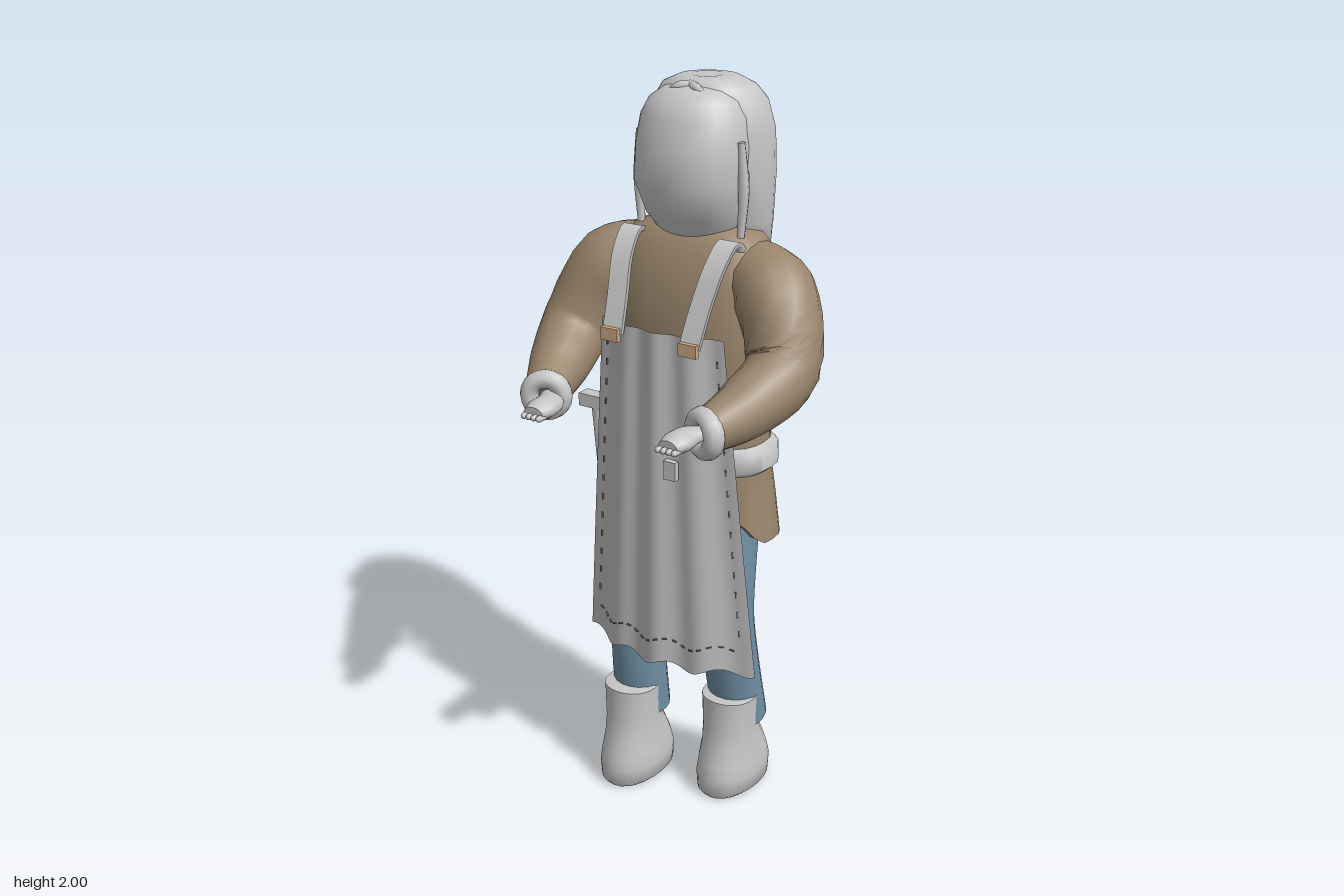
import * as THREE from 'three';
import { toCreasedNormals } from 'three/addons/utils/BufferGeometryUtils.js';

const V = (x, y, z) => new THREE.Vector3(x, y, z);
const mat = (name, color, side = THREE.FrontSide) => {
  const m = new THREE.MeshStandardMaterial({ color, side });
  m.name = name;
  return m;
};

// Closed skin over a list of rings (each ring an array of Vector3)
function skin(rings, crease = 0.9) {
  const n = rings[0].length, pos = [], idx = [];
  rings.forEach(r => r.forEach(p => pos.push(p.x, p.y, p.z)));
  for (let i = 0; i < rings.length - 1; i++)
    for (let j = 0; j < n; j++) {
      const a = i * n + j, b = i * n + (j + 1) % n;
      idx.push(a, b, b + n, a, b + n, a + n);
    }
  [0, rings.length - 1].forEach((k, end) => {
    const c = V(0, 0, 0);
    rings[k].forEach(p => c.addScaledVector(p, 1 / n));
    const ci = pos.length / 3;
    pos.push(c.x, c.y, c.z);
    for (let j = 0; j < n; j++) {
      const a = k * n + j, b = k * n + (j + 1) % n;
      if (end) idx.push(ci, a, b); else idx.push(ci, b, a);
    }
  });
  const g = new THREE.BufferGeometry();
  g.setAttribute('position', new THREE.Float32BufferAttribute(pos, 3));
  g.setIndex(idx);
  return toCreasedNormals(g, crease);
}

// Upright stack of rounded sections: [y, half width, front z, back z]
function stack(rows, { x = 0, dz = 0, n = 28, power = 2.4, shape = null } = {}) {
  const curve = v => Math.sign(v) * Math.pow(Math.abs(v), 2 / power);
  return skin(rows.map(([y, w, f, b]) => Array.from({ length: n }, (_, j) => {
    const a = j / n * Math.PI * 2;
    const p = V(x + w * curve(Math.sin(a)), y, dz + (f + b) / 2 + (f - b) / 2 * curve(Math.cos(a)));
    if (shape) shape(p);
    return p;
  })));
}

// Round limb along points [x, y, z, radius], mirrored by s
function limb(points, s, up, n = 14, steps = 14, flat = 1) {
  const c = new THREE.CatmullRomCurve3(points.map(p => V(p[0] * s, p[1], p[2])));
  const rings = [];
  for (let i = 0; i <= steps; i++) {
    const t = i / steps, k = Math.min(points.length - 2, Math.floor(t * (points.length - 1)));
    const r = THREE.MathUtils.lerp(points[k][3], points[k + 1][3], t * (points.length - 1) - k);
    const P = c.getPoint(t), T = c.getTangent(t);
    const A = up.clone().cross(T).normalize(), B = T.clone().cross(A);
    rings.push(Array.from({ length: n }, (_, j) => {
      const a = j / n * Math.PI * 2;
      return P.clone().addScaledVector(A, r * Math.cos(a)).addScaledVector(B, r * flat * Math.sin(a));
    }));
  }
  return skin(rings);
}

// Draped apron surface, u from -1 to 1 across and v from 0 to 1 downwards
function apronPoint(u, v) {
  const x = u * (0.185 + 0.085 * v);
  return V(x, 1.39 - 0.95 * v + 0.011 * v * Math.sin(u * 12),
    0.075 - 1.25 * x * x + 0.009 * Math.cos(u * 12) * (0.6 + 0.4 * v));
}

export function createModel() {
  const root = new THREE.Group();
  const grey = mat('lightGrey', 0xc6c6c6), cloth = mat('apronGrey', 0xbebebe, THREE.DoubleSide);
  const brown = mat('coatBrown', 0x9a856c), blue = mat('trouserBlue', 0x6f90a5);
  const tan = mat('buckleTan', 0xd0aa86), dark = mat('stitchDark', 0x666666);
  const add = (name, g, m, pos) => {
    const o = new THREE.Mesh(g, m);
    o.name = name;
    if (pos) o.position.set(...pos);
    root.add(o);
    return o;
  };

  // Head and long hair
  add('head', stack([[1.61, 0.1, -0.05, -0.2], [1.66, 0.135, -0.015, -0.22], [1.75, 0.147, 0.035, -0.23],
    [1.84, 0.15, 0.02, -0.23], [1.91, 0.14, 0.005, -0.23], [1.95, 0.12, -0.015, -0.22],
    [1.975, 0.085, -0.05, -0.2], [1.985, 0.04, -0.09, -0.17]], { power: 2.1 }), grey);
  add('hair', stack([[1.53, 0.125, -0.2, -0.305], [1.56, 0.15, -0.15, -0.315], [1.64, 0.165, -0.09, -0.325],
    [1.76, 0.171, -0.07, -0.334], [1.87, 0.168, -0.07, -0.328], [1.94, 0.152, -0.075, -0.308],
    [1.975, 0.125, -0.08, -0.285], [1.995, 0.08, -0.1, -0.255], [2.0, 0.04, -0.13, -0.215],
    [1.994, 0.008, -0.17, -0.19]], { power: 2.05, n: 32 }), grey);

  // Coat with the hem raised at the front
  add('coat', stack([[0.79, 0.24, -0.02, -0.265], [0.9, 0.225, -0.02, -0.262], [1.02, 0.207, -0.02, -0.255],
    [1.2, 0.207, 0.005, -0.265], [1.38, 0.22, 0.02, -0.278], [1.5, 0.222, 0.0, -0.272],
    [1.575, 0.212, -0.025, -0.25], [1.615, 0.18, -0.05, -0.225], [1.635, 0.11, -0.07, -0.19]], {
    power: 2.6,
    shape: p => { if (p.y < 0.8) p.y += 0.08 * THREE.MathUtils.smoothstep(p.z, -0.1, -0.03); },
  }), brown);
  add('belt', stack([[0.985, 0.214, -0.015, -0.262], [0.998, 0.23, -0.01, -0.272],
    [1.05, 0.228, -0.01, -0.272], [1.065, 0.21, -0.015, -0.26]], { power: 2.5 }), grey);

  for (const s of [1, -1]) {
    const side = s > 0 ? 'left' : 'right';
    // Arms, cuffs and hands
    add(side + 'Sleeve', limb([[0.14, 1.525, -0.145, 0.088], [0.245, 1.485, -0.105, 0.108], [0.315, 1.325, -0.03, 0.097],
      [0.288, 1.255, 0.09, 0.081], [0.245, 1.218, 0.21, 0.056]], s, V(0, 1, 0.01), 16, 20), brown);
    const cuff = add(side + 'Cuff', new THREE.TorusGeometry(0.044, 0.025, 10, 20), grey, [s * 0.241, 1.215, 0.212]);
    cuff.rotation.y = -s * 0.45;
    cuff.scale.z = 1.15;
    add(side + 'Hand', limb([[0.232, 1.213, 0.2, 0.028], [0.208, 1.208, 0.245, 0.039],
      [0.205, 1.206, 0.28, 0.041], [0.203, 1.204, 0.318, 0.029]], s, V(0, 1, 0), 12, 9, 0.65), grey);
    for (let i = 0; i < 4; i++) {
      const f = add(side + 'Finger', new THREE.CapsuleGeometry(0.0085, 0.022, 3, 8), grey,
        [s * (0.18 + i * 0.0155), 1.197, 0.314]);
      f.rotation.x = Math.PI / 2;
    }

    // Side locks, ears and parted fringe
    add(side + 'Lock', limb([[0.15, 1.62, -0.095, 0.01], [0.157, 1.74, -0.095, 0.015],
      [0.15, 1.86, -0.09, 0.01]], s, V(0, 0, 1), 8, 6), grey);
    add(side + 'Ear', new THREE.SphereGeometry(0.018, 10, 8), grey, [s * 0.15, 1.77, -0.105]).scale.set(0.8, 1.6, 0.9);
    add(side + 'Fringe', limb([[0, 1.985, -0.098, 0.011], [0.025, 1.98, -0.08, 0.013],
      [0.06, 1.965, -0.072, 0.004]], s, V(0, 1, 0), 8, 8), grey);

    // Trousers hang over the back of the boots; the left foot stands further back
    const dz = s > 0 ? 0 : 0.1;
    add(side + 'Trouser', limb([[0.11, 0.9, -0.125, 0.09], [0.12, 0.72, -0.095 + dz * 0.1, 0.085],
      [0.128, 0.55, -0.085 + dz * 0.4, 0.079], [0.13, 0.38, -0.12 + dz * 0.8, 0.077],
      [0.132, 0.205, -0.163 + dz, 0.077]], s, V(0, 0, 1), 18, 16), blue);
    add(side + 'Boot', stack([[0, 0.07, -0.01, -0.25], [0.012, 0.084, 0.0, -0.262], [0.06, 0.088, 0.002, -0.263],
      [0.1, 0.084, -0.008, -0.25], [0.15, 0.077, -0.022, -0.226], [0.2, 0.073, -0.03, -0.195],
      [0.298, 0.077, -0.032, -0.182], [0.3, 0.068, -0.04, -0.176]], { x: s * 0.132, dz, n: 24, power: 2.15 }), grey);

    // Apron straps and buckles
    const strap = new THREE.CatmullRomCurve3([V(s * 0.145, 1.58, -0.085), V(s * 0.145, 1.612, -0.05),
      V(s * 0.138, 1.56, 0.005), V(s * 0.124, 1.46, 0.05), V(s * 0.116, 1.37, 0.085)]);
    const rings = strap.getPoints(16).map((p, i) => {
      const T = strap.getTangent(i / 16), A = V(1, 0, 0), B = T.clone().cross(A).normalize();
      return [[1, 0.3], [0.6, 1], [-0.6, 1], [-1, 0.3], [-1, -1], [1, -1]].map(([a, b]) =>
        p.clone().addScaledVector(A, a * 0.029).addScaledVector(B, -b * 0.009)).reverse();
    });
    add(side + 'Strap', skin(rings, 1.2), grey);
    add(side + 'Buckle', new THREE.BoxGeometry(0.052, 0.034, 0.014), tan, [s * 0.118, 1.37, 0.097]);
  }

  // Apron sheet
  const sheet = new THREE.PlaneGeometry(2, 1, 48, 12), sp = sheet.attributes.position;
  for (let i = 0; i < sp.count; i++) {
    const p = apronPoint(sp.getX(i), 0.5 - sp.getY(i));
    sp.setXYZ(i, p.x, p.y, p.z);
  }
  sheet.computeVertexNormals();
  add('apron', sheet, cloth);

  // Stitches down both sides and along the hem
  const stitch = (u, v, du, dv) => {
    const p = apronPoint(u, v), q = apronPoint(u + du, v + dv);
    const m = add('stitch', new THREE.BoxGeometry(0.004, 0.004, p.distanceTo(q)), dark);
    m.position.copy(p).lerp(q, 0.5);
    m.position.z += 0.002;
    m.lookAt(q.clone().setZ(q.z + 0.002));
  };
  for (let i = 0; i < 14; i++)
    for (const s of [1, -1]) stitch(s * 0.88, 0.06 + i * 0.061, 0, 0.018);
  for (let i = 0; i < 18; i++) stitch(-0.86 + i * 0.096, 0.925, 0.045, 0);

  // Apron toggle, belt pouch and hanging hammer
  add('toggle', new THREE.BoxGeometry(0.036, 0.052, 0.018), grey, [0.055, 1.025, 0.078]);
  add('beltPouch', stack([[0.965, 0.012, -0.055, -0.095], [0.98, 0.019, -0.045, -0.11], [1.06, 0.019, -0.045, -0.11],
    [1.09, 0.012, -0.055, -0.1]], { x: -0.225, n: 12 }), grey);
  add('hammerHead', new THREE.BoxGeometry(0.085, 0.036, 0.04), grey, [-0.26, 1.12, -0.03]);
  add('hammerHandle', limb([[-0.25, 1.11, -0.03, 0.02], [-0.24, 0.98, -0.03, 0.018],
    [-0.232, 0.85, -0.03, 0.014]], 1, V(0, 0, 1), 8, 6), grey);
  return root;
}
